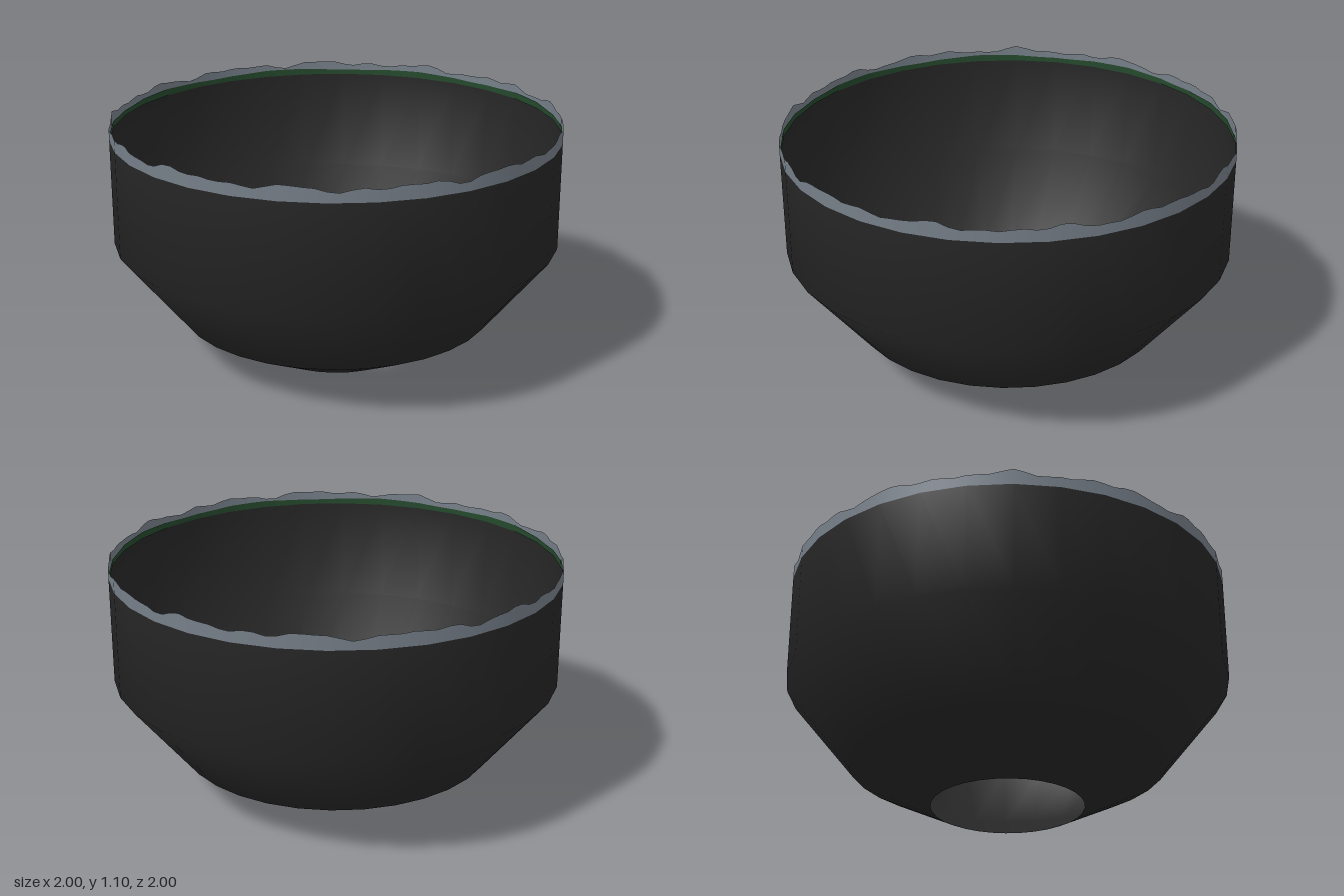
import * as THREE from 'three';

const SIDES = 32;
const STEPS = 128; // rim samples, four per side of the bowl

function material(color) {
  return new THREE.MeshStandardMaterial({ color, side: THREE.DoubleSide });
}

// Radius of the bowl's polygon outline at a given angle
function outline(angle) {
  const step = (2 * Math.PI) / SIDES;
  const local = (((angle % step) + step) % step) - step / 2;
  return Math.cos(step / 2) / Math.cos(local);
}

// Gently torn upper edge, periodic around the rim
function raggedHeight(angle) {
  return 1.085 + 0.008 * Math.sin(13 * angle + 1) + 0.006 * Math.sin(22 * angle + 0.4)
    + 0.005 * Math.sin(37 * angle + 2);
}

// Upright strip following the outline, with its top set by a rule
function strip(name, radius, bottom, topAt, color) {
  const geometry = new THREE.CylinderGeometry(1, 1, 1, STEPS, 1, true);
  const p = geometry.attributes.position;
  for (let i = 0; i < p.count; i++) {
    const angle = Math.atan2(p.getX(i), p.getZ(i));
    const r = radius * outline(angle);
    const y = p.getY(i) > 0 ? topAt(angle) : bottom;
    p.setXYZ(i, r * Math.sin(angle), y, r * Math.cos(angle));
  }
  const mesh = new THREE.Mesh(geometry, material(color));
  mesh.name = name;
  return mesh;
}

export function createModel() {
  const model = new THREE.Group();
  model.name = 'bowl';

  // Open-bottomed shell
  const profile = [[0.34, 0], [0.71, 0.19], [1, 0.55], [1, 1.03]]
    .map(([r, y]) => new THREE.Vector2(r, y));
  const shell = new THREE.Mesh(new THREE.LatheGeometry(profile, SIDES), material(0x262626));
  shell.name = 'shell';
  model.add(shell);

  // Ragged grey rim and the green lining low on its inside
  model.add(strip('raggedRim', 1, 1.03, raggedHeight, 0x757e88));
  model.add(strip('innerLining', 0.995, 1.03, (a) => 1.057 + 0.004 * Math.sin(9 * a), 0x24482c));
  return model;
}
